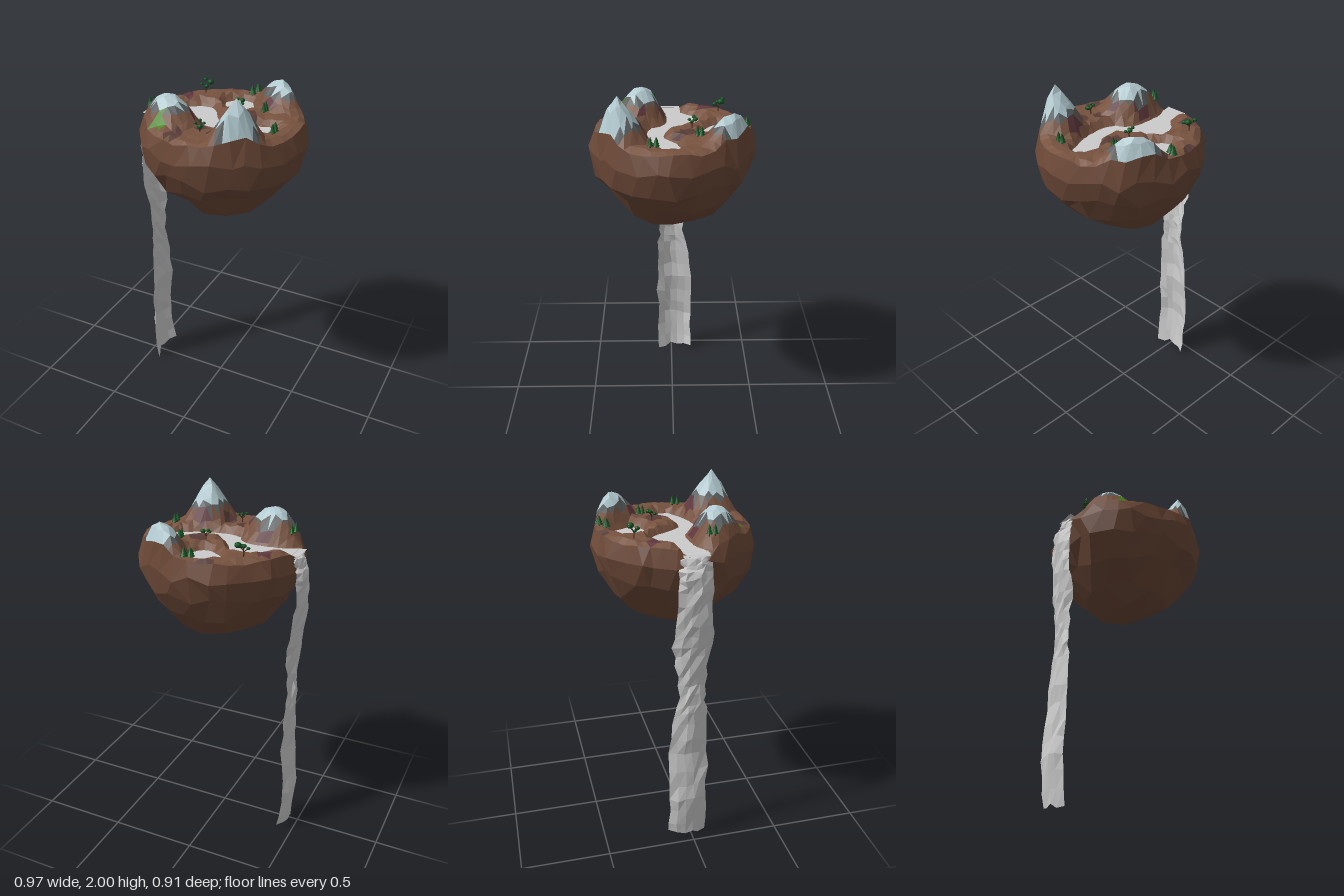
import * as THREE from 'three';

const WATER = 1.735, CX = 0.018;
const V = (x, y, z) => new THREE.Vector3(x, y, z);
const paint = (color, side = THREE.FrontSide) => new THREE.MeshStandardMaterial({ color, flatShading: true, side });
const clamp = THREE.MathUtils.clamp;

let seed = 7;
const jit = (a) => {
  seed = (seed * 16807) % 2147483647;
  return (seed / 2147483647 - 0.5) * 2 * a;
};

// Shorelines as [x, z]
const river = [[-0.44, -0.045], [-0.38, -0.05], [-0.31, -0.05], [-0.26, -0.11], [-0.2, -0.15], [-0.13, -0.155],
  [-0.08, -0.12], [-0.05, -0.06], [0, 0.01], [0.04, 0.04], [0.11, 0.045], [0.16, 0.01], [0.21, -0.035], [0.27, -0.045],
  [0.33, 0], [0.33, 0.05], [0.27, 0.07], [0.2, 0.11], [0.12, 0.13], [0.03, 0.14], [-0.04, 0.125], [-0.07, 0.07],
  [-0.12, 0.04], [-0.18, 0.03], [-0.3, 0.04], [-0.38, 0.07], [-0.44, 0.085]];
const pond = [[0, -0.34], [0.04, -0.33], [0.1, -0.23], [0.07, -0.17], [0.02, -0.15], [-0.08, -0.21], [-0.1, -0.25], [-0.08, -0.3]];

// Signed distance to a shoreline, negative in the water
function shore(poly, x, z) {
  let best = 9, inside = false;
  poly.forEach(([ax, az], i) => {
    const [bx, bz] = poly[(i + 1) % poly.length];
    const t = clamp(((x - ax) * (bx - ax) + (z - az) * (bz - az)) / ((bx - ax) ** 2 + (bz - az) ** 2), 0, 1);
    best = Math.min(best, Math.hypot(x - ax - t * (bx - ax), z - az - t * (bz - az)));
    if ((az > z) !== (bz > z) && x < ax + ((z - az) / (bz - az)) * (bx - ax)) inside = !inside;
  });
  return inside ? -best : best;
}

// Mountains: elliptical footprints with a pointed or rounded profile, and the extent of the snow
const mountains = [
  { x: 0.225, z: 0.28, top: 2.0, a: 0.15, b: 0.165, turn: 0, snow: 0.58, f: (q) => 1 - q ** 1.15 },
  { x: -0.215, z: 0.175, top: 1.915, a: 0.19, b: 0.15, turn: 0.3, snow: 0.48, f: (q) => (1 - q * q) ** 1.4 },
  { x: 0.225, z: -0.31, top: 1.905, a: 0.2, b: 0.145, turn: 0.75, snow: 0.5, f: (q) => (1 - q * q) ** 1.4 },
];
function reach(m, x, z) {
  const c = Math.cos(m.turn), s = Math.sin(m.turn), dx = x - m.x, dz = z - m.z;
  return Math.hypot((dx * c + dz * s) / m.a, (dz * c - dx * s) / m.b);
}

function height(x, z) {
  const d = Math.min(shore(river, x, z), shore(pond, x, z));
  let h = WATER + clamp((d + 0.002) * 1.1, -0.03, 0.04);
  const edge = clamp((0.47 - Math.hypot(x - CX, z)) / 0.09, 0, 1) * clamp(d / 0.06, 0, 1);
  for (const m of mountains) {
    const q = reach(m, x, z);
    if (q < 1) h += (m.top - 1.775) * m.f(q) * edge;
  }
  return h;
}

// Disc of concentric rings, ring k holding 6k vertices
const id = (k, i) => (k === 0 ? 0 : 1 + 3 * k * (k - 1) + (i % (6 * k)));
function discFaces(n) {
  const faces = [];
  for (let k = 1; k <= n; k++) for (let s = 0; s < 6; s++) for (let j = 0; j < k; j++) {
    const inner = id(k - 1, s * (k - 1) + j), next = id(k, s * k + j + 1);
    faces.push([inner, id(k, s * k + j), next]);
    if (j < k - 1) faces.push([inner, next, id(k - 1, s * (k - 1) + j + 1)]);
  }
  return faces;
}
function discPoints(n, place) {
  const pts = [];
  for (let k = 0; k <= n; k++) for (let i = 0; i < Math.max(1, 6 * k); i++)
    pts.push(place(k, i, k ? (i / (6 * k)) * Math.PI * 2 : 0));
  return pts;
}
function faceMesh(name, pts, faces, material) {
  const geo = new THREE.BufferGeometry().setFromPoints(faces.flat().map((i) => pts[i]));
  geo.computeVertexNormals();
  const mesh = new THREE.Mesh(geo, material);
  mesh.name = name;
  return mesh;
}

// Coloured ground patches: [x, z, radius]
const mauve = [[-0.3, -0.18, 0.045], [0.2, -0.19, 0.04], [-0.2, 0.07, 0.04], [-0.1, 0.17, 0.03], [0.21, 0.155, 0.035]];
const dusk = [[-0.08, -0.4, 0.04], [0.12, -0.08, 0.05], [-0.1, 0.34, 0.045], [-0.01, 0.2, 0.03], [0.08, 0.25, 0.035], [0.13, -0.39, 0.03], [0.16, -0.03, 0.03]];
const grass = [[-0.21, 0.295, 0.035]];
const near = (list, x, z) => list.some(([a, b, r]) => Math.hypot(x - a, z - b) < r);

function island() {
  const g = new THREE.Group();
  g.name = 'island';
  const N = 12, B = 6;
  const top = discPoints(N, (k, i, t) => {
    const rim = k === N, w = rim ? 0.008 : 0.01, r = (0.42 * k) / N;
    const x = CX + Math.cos(t) * r * 1.02 + jit(w), z = Math.sin(t) * r + jit(w);
    return V(x, height(x, z) + jit(rim ? 0.01 : 0.004) - (rim ? 0.015 : 0), z);
  });
  // Summits snap to the nearest vertex
  for (const m of mountains) {
    const dist = (p) => Math.hypot(p.x - m.x, p.z - m.z);
    top.reduce((a, b) => (dist(b) < dist(a) ? b : a)).set(m.x, m.top, m.z);
  }
  // Odd rim vertices lie midway, so the coarser underside meets the rim
  for (let i = 1; i < 6 * N; i += 2)
    top[id(N, i)].copy(top[id(N, i - 1)]).add(top[id(N, i + 1)]).multiplyScalar(0.5);

  const kinds = { soil: 0x77523f, snow: 0xb2cad0, rock: 0x5c6060, mauveGround: 0x60383e, duskGround: 0x573c37, grass: 0x46881a };
  const sorted = Object.fromEntries(Object.keys(kinds).map((k) => [k, []]));
  for (const [a, b, c] of discFaces(N)) {
    const x = (top[a].x + top[b].x + top[c].x) / 3, z = (top[a].z + top[b].z + top[c].z) / 3;
    const q = Math.min(...mountains.map((m) => reach(m, x, z) - m.snow));
    const kind = q < 0 ? 'snow' : near(grass, x, z) ? 'grass' : q < 0.15 ? 'rock'
      : near(mauve, x, z) ? 'mauveGround' : near(dusk, x, z) ? 'duskGround' : 'soil';
    sorted[kind].push([a, c, b]);
  }
  for (const k in kinds) g.add(faceMesh(k, top, sorted[k], paint(kinds[k])));

  // Rounded rocky underside
  const profile = [[0, 1.22], [0.125, 1.237], [0.245, 1.315], [0.355, 1.43], [0.425, 1.55], [0.45, 1.67]];
  const under = discPoints(B, (k, i, t) => {
    if (k === B) return top[id(N, i * 2)];
    const [r, y] = profile[k], rr = r + jit(0.012);
    t += k ? jit(0.07) : 0;
    return V(CX + Math.cos(t) * rr * 1.02, y + (k > 1 ? jit(0.03) : jit(0.006)), Math.sin(t) * rr);
  });
  g.add(faceMesh('underside', under, discFaces(B), paint(0x6a4736)));
  return g;
}

function waterSurface(name, poly) {
  const shape = new THREE.Shape(poly.map(([x, z]) => new THREE.Vector2(x, -z)));
  const mesh = new THREE.Mesh(new THREE.ShapeGeometry(shape).rotateX(-Math.PI / 2), paint(0xcccccc, THREE.DoubleSide));
  mesh.position.y = WATER;
  mesh.name = name;
  return mesh;
}

// Waterfall: a bowed, rippled sheet; stations are [x, y, z of back edge, z of front edge]
function waterfall() {
  const stations = [[-0.4, 1.737, -0.05, 0.08], [-0.44, 1.71, -0.06, 0.09], [-0.465, 1.66, -0.08, 0.1], [-0.478, 1.58, -0.085, 0.1],
    [-0.475, 1.42, -0.095, 0.1], [-0.458, 1.25, -0.108, 0.11], [-0.445, 1.08, -0.085, 0.08], [-0.445, 0.93, -0.07, 0.075],
    [-0.45, 0.78, -0.115, 0.085], [-0.45, 0.5, -0.13, 0.09], [-0.472, 0.25, -0.125, 0.09], [-0.445, 0.01, -0.132, 0.092]];
  const path = new THREE.CatmullRomCurve3(stations.map((s) => V(s[0], s[1], 0)));
  const edge = new THREE.CatmullRomCurve3(stations.map((s) => V(s[2], s[3], 0)));
  const cols = 5, rows = 30;
  const geo = new THREE.PlaneGeometry(1, 1, cols, rows), p = geo.attributes.position;
  for (let i = 0; i < p.count; i++) {
    const u = (i % (cols + 1)) / cols, row = Math.floor(i / (cols + 1)), v = row / rows;
    const c = path.getPoint(v), e = edge.getPoint(v), wild = row < 3 ? 0 : 1;
    const bow = wild * 0.03 * (2 * u - 1) ** 2;
    p.setXYZ(i, c.x + bow + jit(0.008) * wild, Math.max(0, c.y + jit(0.015) * wild), e.x + (e.y - e.x) * u + jit(0.009) * wild);
  }
  geo.computeVertexNormals();
  const mesh = new THREE.Mesh(geo, paint(0xcccccc, THREE.DoubleSide));
  mesh.name = 'waterfall';
  return mesh;
}

const leaf = paint(0x0f4f1e), bark = paint(0x4a2c1c);
function add(group, geo, mat, x, y, z) {
  const m = new THREE.Mesh(geo, mat);
  m.position.set(x, y, z);
  group.add(m);
  return m;
}
// Pine: trunk and three stacked cones
function pine(x, z, s) {
  const g = new THREE.Group();
  g.name = 'pineTree';
  g.position.set(x, height(x, z) - 0.004, z);
  add(g, new THREE.CylinderGeometry(0.003, 0.004, 0.02, 6), bark, 0, 0.008, 0);
  for (let i = 0; i < 3; i++)
    add(g, new THREE.ConeGeometry(s * (1 - i * 0.22), 0.024, 9), leaf, 0, 0.022 + i * 0.013, 0);
  return g;
}
// Branching tree: one bent limb to each leaf ball, balls as [x, z, radius, height]
function branchingTree(x, z, balls) {
  const g = new THREE.Group(), y = height(x, z);
  g.name = 'branchingTree';
  for (const [bx, bz, r, h] of balls) {
    const limb = new THREE.CatmullRomCurve3([V(x, y - 0.005, z), V(x, y + h * 0.45, z), V(bx, y + h, bz)]);
    g.add(new THREE.Mesh(new THREE.TubeGeometry(limb, 6, 0.0025, 5), bark));
    add(g, new THREE.IcosahedronGeometry(r, 1), leaf, bx, y + h, bz).scale.y = 0.8;
  }
  return g;
}

export function createModel() {
  const model = new THREE.Group();
  model.name = 'floatingIsland';
  model.add(island(), waterSurface('river', river), waterSurface('pond', pond), waterfall());
  for (const [x, z, s] of [[0.042, -0.397, 0.022], [0.022, -0.362, 0.023], [0.197, -0.15, 0.018], [0.195, -0.128, 0.015],
    [0.352, 0.085, 0.018], [0.35, 0.115, 0.015], [-0.345, 0.102, 0.016], [-0.358, 0.128, 0.018]]) model.add(pine(x, z, s));
  model.add(
    branchingTree(-0.225, -0.262, [[-0.2, -0.275, 0.019, 0.06], [-0.24, -0.287, 0.012, 0.065], [-0.25, -0.26, 0.01, 0.045], [-0.209, -0.24, 0.013, 0.045]]),
    branchingTree(0.062, -0.105, [[0.072, -0.121, 0.014, 0.05], [0.045, -0.114, 0.01, 0.055], [0.082, -0.1, 0.009, 0.04], [0.047, -0.09, 0.009, 0.04]]),
    branchingTree(0.008, 0.252, [[0.016, 0.267, 0.016, 0.035], [0.002, 0.236, 0.009, 0.055], [0.027, 0.241, 0.009, 0.045], [-0.01, 0.268, 0.009, 0.05]]),
  );
  return model;
}
